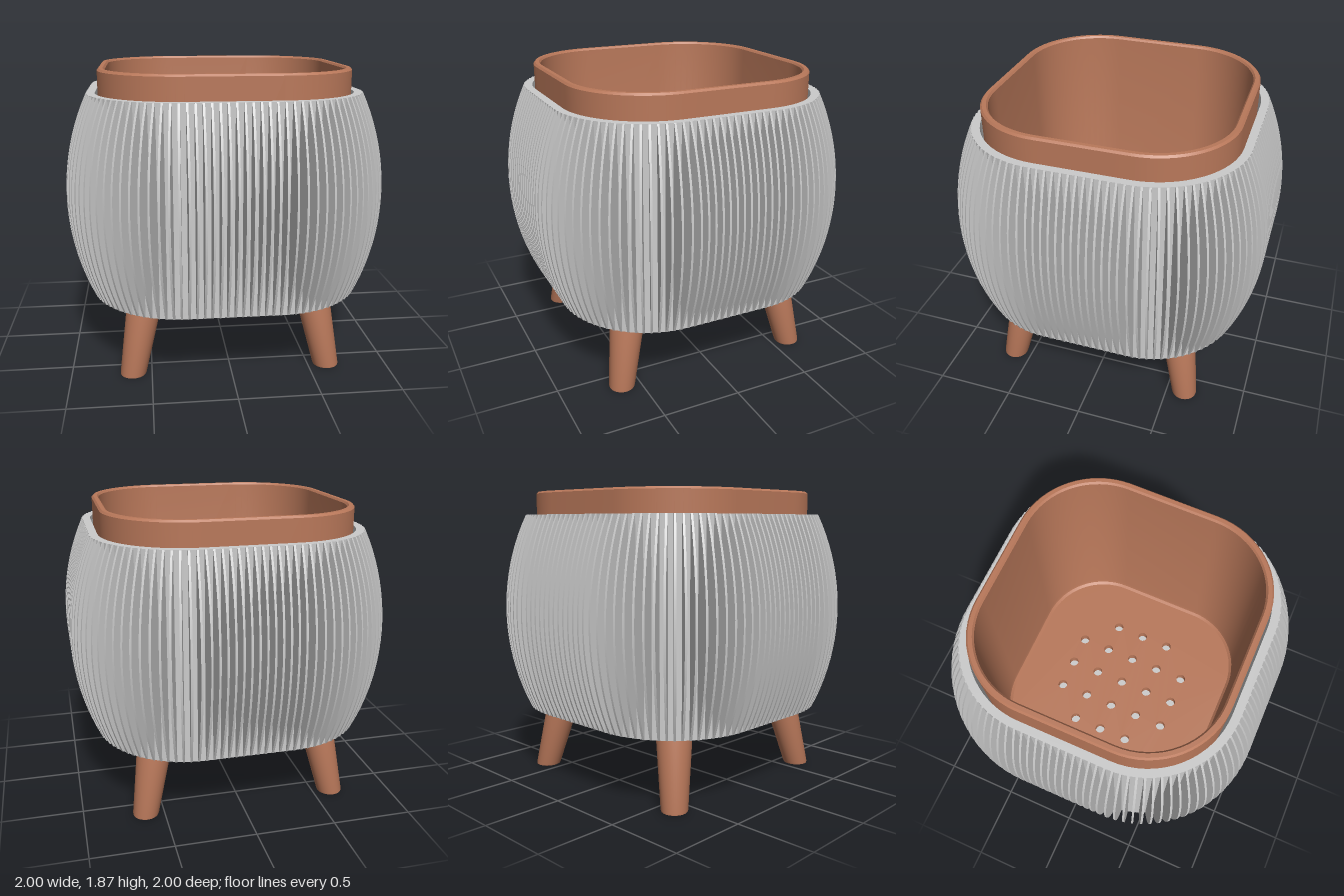
import * as THREE from 'three';
import { mergeGeometries, mergeVertices, toCreasedNormals } from 'three/addons/utils/BufferGeometryUtils.js';

const FLAT = 0.28; // half length of the straight part of each side

// Rounded-square outline, h = half width; corners are concentric
function outline(h, steps = 16) {
  const pts = [];
  for (let q = 0; q < 4; q++) {
    const cx = q === 0 || q === 3 ? FLAT : -FLAT;
    const cy = q < 2 ? FLAT : -FLAT;
    for (let i = 0; i <= steps; i++) {
      const a = (q + i / steps) * Math.PI / 2;
      pts.push(new THREE.Vector2(cx + (h - FLAT) * Math.cos(a), cy + (h - FLAT) * Math.sin(a)));
    }
  }
  return pts;
}

// Sweep a profile of [half width, y] round the rounded square
function sweep(profile) {
  const pos = [], index = [];
  const n = outline(1).length;
  for (const [h, y] of profile) for (const p of outline(h)) pos.push(p.x, y, p.y);
  for (let j = 0; j < profile.length - 1; j++) {
    for (let i = 0; i < n; i++) {
      const k = (i + 1) % n;
      const a = j * n + i, b = j * n + k, c = a + n, d = b + n;
      index.push(a, c, b, b, c, d);
    }
  }
  const g = new THREE.BufferGeometry();
  g.setAttribute('position', new THREE.Float32BufferAttribute(pos, 3));
  g.setIndex(index);
  return toCreasedNormals(g, 0.5);
}

// Horizontal rounded-square plate, optionally with holes
function plate(h, y, thickness, holes = []) {
  const shape = new THREE.Shape(outline(h));
  shape.holes.push(...holes);
  const g = new THREE.ExtrudeGeometry(shape, { depth: thickness, bevelEnabled: false, curveSegments: 10 });
  return g.rotateX(-Math.PI / 2).translate(0, y, 0);
}

export function createModel() {
  const root = new THREE.Group();
  const grey = new THREE.MeshStandardMaterial({ color: 0xcccccc });
  const clay = new THREE.MeshStandardMaterial({ color: 0xb9785a });
  const add = (name, geometry, material, parent = root) => {
    const mesh = new THREE.Mesh(geometry, material);
    mesh.name = name;
    parent.add(mesh);
    return mesh;
  };
  const bottom = 0.455, top = 1.725, wall = 0.85;

  // Outer shell
  const shell = new THREE.Group();
  shell.name = 'outerShell';
  root.add(shell);
  add('shellWall', sweep([[wall, bottom], [wall, top], [0.8, top], [0.8, bottom + 0.03]]), grey, shell);
  add('shellFloor', plate(wall, bottom, 0.045), grey, shell);

  // Bowed fins, evenly spaced along the wall and square to it
  const mid = (bottom + top) / 2, half = (top - bottom) / 2;
  const rise = 0.145, radius = (half * half + rise * rise) / (2 * rise);
  const finShape = new THREE.Shape([new THREE.Vector2(-0.02, bottom)]);
  for (let i = 0; i <= 20; i++) {
    const dy = half * (i / 10 - 1);
    finShape.lineTo(0.15 - radius + Math.sqrt(radius * radius - dy * dy), mid + dy);
  }
  finShape.lineTo(-0.02, top);
  const thick = 0.013;
  const finBase = toCreasedNormals(
    new THREE.ExtrudeGeometry(finShape, { depth: thick, bevelEnabled: false }).translate(0, 0, -thick / 2), 0.5);
  const fin = mergeVertices(finBase);
  const fins = [], perSide = 32, r = wall - FLAT;
  const arc = r * Math.PI / 2, sideLength = 2 * FLAT + arc;
  for (let side = 0; side < 4; side++) {
    for (let i = 0; i < perSide; i++) {
      // Start at the middle of a side, go round the corner, end at the next middle
      const s = i / perSide * sideLength;
      const a = THREE.MathUtils.clamp((s - FLAT) / r, 0, Math.PI / 2);
      const before = Math.min(s, FLAT), after = Math.max(s - FLAT - arc, 0);
      const x = FLAT - after + r * Math.cos(a), z = before + r * Math.sin(a);
      fins.push(fin.clone().rotateY(-a).translate(x, 0, z).rotateY(side * Math.PI / 2));
    }
  }
  add('fins', mergeGeometries(fins), grey, shell);

  // Inner pot: wall with softened rim, and a floor with drainage holes
  const pot = new THREE.Group();
  pot.name = 'innerPot';
  root.add(pot);
  add('potWall', sweep([
    [0.783, 0.51], [0.783, 1.86], [0.772, 1.872], [0.748, 1.872],
    [0.738, 1.86], [0.728, 0.61], [0.722, 0.585], [0.705, 0.57],
  ]), clay, pot);
  const holes = [];
  for (let i = -2; i <= 2; i++) {
    for (let j = -2; j <= 2; j++) {
      if (Math.abs(i * j) === 4) continue;
      holes.push(new THREE.Path().absarc(i * 0.194, j * 0.194, 0.032, 0, Math.PI * 2, true));
    }
  }
  add('potFloor', plate(0.78, 0.51, 0.06, holes), clay, pot);

  // Tapered legs, splayed by a shear so the feet stay level
  const legProfile = [[0, 0], [0.072, 0], [0.079, 0.003], [0.082, 0.012], [0.112, bottom + 0.01], [0, bottom + 0.01]];
  for (const [sx, sz, name] of [
    [1, 1, 'frontLeftLeg'], [-1, 1, 'frontRightLeg'], [1, -1, 'backLeftLeg'], [-1, -1, 'backRightLeg'],
  ]) {
    const g = new THREE.LatheGeometry(legProfile.map(([x, y]) => new THREE.Vector2(x, y)), 40);
    const p = g.attributes.position;
    for (let i = 0; i < p.count; i++) {
      const offset = 0.617 - 0.085 * p.getY(i) / bottom;
      p.setX(i, p.getX(i) + sx * offset);
      p.setZ(i, p.getZ(i) + sz * offset);
    }
    add(name, toCreasedNormals(g, 0.6), clay);
  }
  return root;
}
